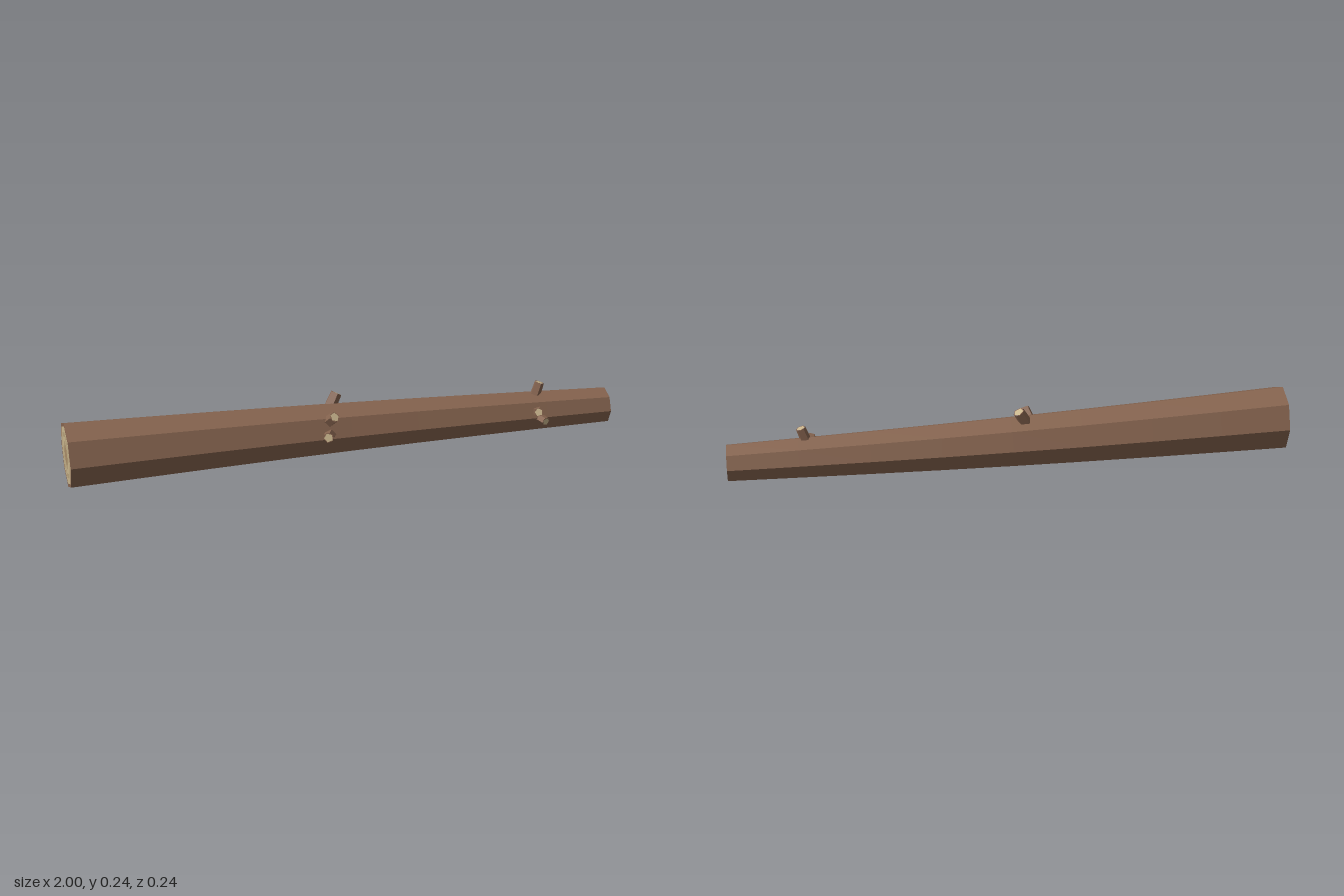
import * as THREE from 'three';

const mat = (color) => new THREE.MeshStandardMaterial({ color, flatShading: true, roughness: 0.9 });
const bark = mat(0x86644f);
const cream = mat(0xc8b48c);
const tan = mat(0xb5a07a);
const core = mat(0xa88c68);

const R_BIG = 0.119, R_SMALL = 0.068, SIDES = 8;
const bow = (x) => -0.003 - 0.017 * Math.cos((x * Math.PI) / 2);
const radiusAt = (x) => THREE.MathUtils.lerp(R_BIG, R_SMALL, (x + 1) / 2);

function add(parent, name, geometry, material) {
  const mesh = new THREE.Mesh(geometry, material);
  mesh.name = name;
  parent.add(mesh);
  return mesh;
}

// tapered octagonal trunk resting on the ground and bowed backwards
function makeTrunk() {
  const g = new THREE.CylinderGeometry(R_SMALL, R_BIG, 2, SIDES, 8, true).rotateZ(-Math.PI / 2);
  const p = g.attributes.position;
  for (let i = 0; i < p.count; i++) {
    const x = p.getX(i);
    p.setY(i, p.getY(i) + radiusAt(x));
    p.setZ(i, p.getZ(i) + bow(x));
  }
  g.computeVertexNormals();
  return g;
}

// sawn end with concentric growth rings
function makeCutEnd(side) {
  const group = new THREE.Group();
  group.name = side > 0 ? 'smallCutEnd' : 'bigCutEnd';
  const r = radiusAt(side);
  const rings = [[1, 0.9, bark], [0.9, 0.72, cream], [0.72, 0.58, tan], [0.58, 0.44, cream], [0.44, 0.3, tan]];
  rings.forEach(([outer, inner, m], i) =>
    add(group, 'growthRing' + (i + 1), new THREE.RingGeometry(r * inner, r * outer, SIDES), m));
  add(group, 'heartwood', new THREE.CircleGeometry(r * 0.3, SIDES), core);
  group.position.set(side, r, bow(side));
  group.rotation.y = (side * Math.PI) / 2;
  return group;
}

// sawn-off branch running from inside the trunk to its tip
function makeStub(base, tip, r) {
  const group = new THREE.Group();
  group.name = 'branchStub';
  const a = new THREE.Vector3(...base), b = new THREE.Vector3(...tip);
  const length = a.distanceTo(b);
  add(group, 'stubBark', new THREE.CylinderGeometry(r, r * 1.2, length, 5, 1, true), bark);
  const rim = add(group, 'stubRim', new THREE.RingGeometry(r * 0.85, r, 5), bark);
  const cut = add(group, 'stubCut', new THREE.CircleGeometry(r * 0.85, 5), cream);
  for (const m of [rim, cut]) {
    m.geometry.rotateX(-Math.PI / 2).rotateY(Math.PI / 10 * 4);
    // line the pentagon up with the bark below it
    m.geometry.rotateY(-Math.PI / 10 * 3);
    m.position.y = length / 2;
  }
  group.position.copy(a).lerp(b, 0.5);
  group.quaternion.setFromUnitVectors(new THREE.Vector3(0, 1, 0), b.sub(a).normalize());
  return group;
}

export function createModel() {
  const log = new THREE.Group();
  log.name = 'log';
  add(log, 'trunk', makeTrunk(), bark);
  log.add(makeCutEnd(1), makeCutEnd(-1));

  const stubs = [
    [[-0.07, 0.14, -0.03], [-0.027, 0.218, -0.047], 0.021],
    [[-0.09, 0.12, 0.01], [-0.066, 0.178, 0.073], 0.02],
    [[-0.06, 0.1, 0.02], [-0.097, 0.115, 0.103], 0.019],
    [[0.71, 0.1, -0.005], [0.738, 0.186, -0.006], 0.018],
    [[0.72, 0.085, 0.02], [0.7, 0.11, 0.09], 0.017],
    [[0.71, 0.075, 0.02], [0.73, 0.07, 0.092], 0.016],
  ];
  stubs.forEach((s) => log.add(makeStub(...s)));
  return log;
}
